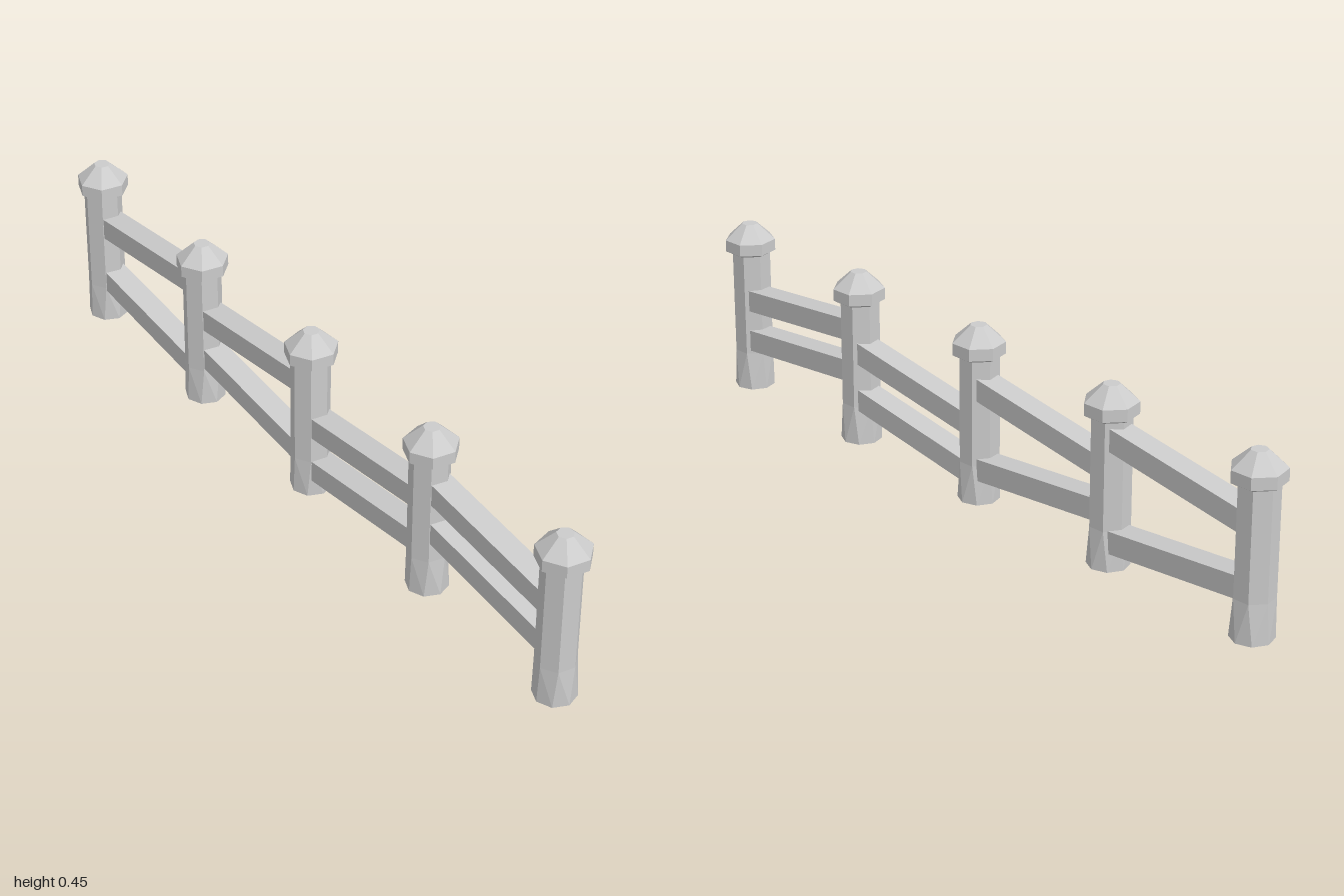
import * as THREE from 'three';
import { ConvexGeometry } from 'three/addons/geometries/ConvexGeometry.js';

const SPACING = 0.4674;
const TURN = 0.082; // rotation of the seven-sided posts

const material = new THREE.MeshStandardMaterial({ color: 0xcccccc, flatShading: true });

function part(name, geometry) {
  const mesh = new THREE.Mesh(geometry, material);
  mesh.name = name;
  return mesh;
}

// Regular polygon of points at height y
function ring(sides, radius, y, turn, z = 0) {
  return Array.from({ length: sides }, (_, i) => {
    const a = turn + (i / sides) * Math.PI * 2;
    return new THREE.Vector3(Math.sin(a) * radius, y, Math.cos(a) * radius + z);
  });
}

function lathe(profile) {
  const points = profile.map(([r, y]) => new THREE.Vector2(r, y));
  return new THREE.LatheGeometry(points, 7, TURN, Math.PI * 2).toNonIndexed();
}

function createPost() {
  const post = new THREE.Group();
  post.name = 'post';

  // Faceted foot: eight sides at the ground, seven where it meets the shaft
  post.add(part('foot', new ConvexGeometry([
    ...ring(8, 0.052, 0, 0, -0.0015),
    ...ring(7, 0.0495, 0.1, TURN),
  ])));

  post.add(part('shaft', lathe([[0.0495, 0.1], [0.0495, 0.375]])));

  // Cap with a chamfered underside and a blunt pyramid top
  const cap = part('cap', lathe([
    [0, 0.371], [0.053, 0.371], [0.0655, 0.378], [0.0655, 0.408], [0.0205, 0.449], [0, 0.449],
  ]));
  cap.position.z = -0.002;
  post.add(cap);
  return post;
}

export function createModel() {
  const fence = new THREE.Group();
  fence.name = 'fence';

  for (let i = -2; i <= 2; i++) {
    const post = createPost();
    post.position.x = i * SPACING + 0.001;
    fence.add(post);
  }

  // Two crooked rails per bay: [height at middle, slope direction]
  const bays = [
    [[0.304, 1], [0.097, -1]],
    [[0.274, 1], [0.114, -1]],
    [[0.221, 1], [0.095, 1]],
    [[0.271, -1], [0.16, -1]],
  ];
  bays.forEach((rails, i) => rails.forEach(([y, slope], j) => {
    const rail = part(j ? 'lowerRail' : 'upperRail', new THREE.BoxGeometry(0.44, 0.056, 0.06));
    rail.position.set((i - 1.5) * SPACING, y, -0.004);
    rail.rotation.z = slope * 0.114;
    fence.add(rail);
  }));

  return fence;
}
